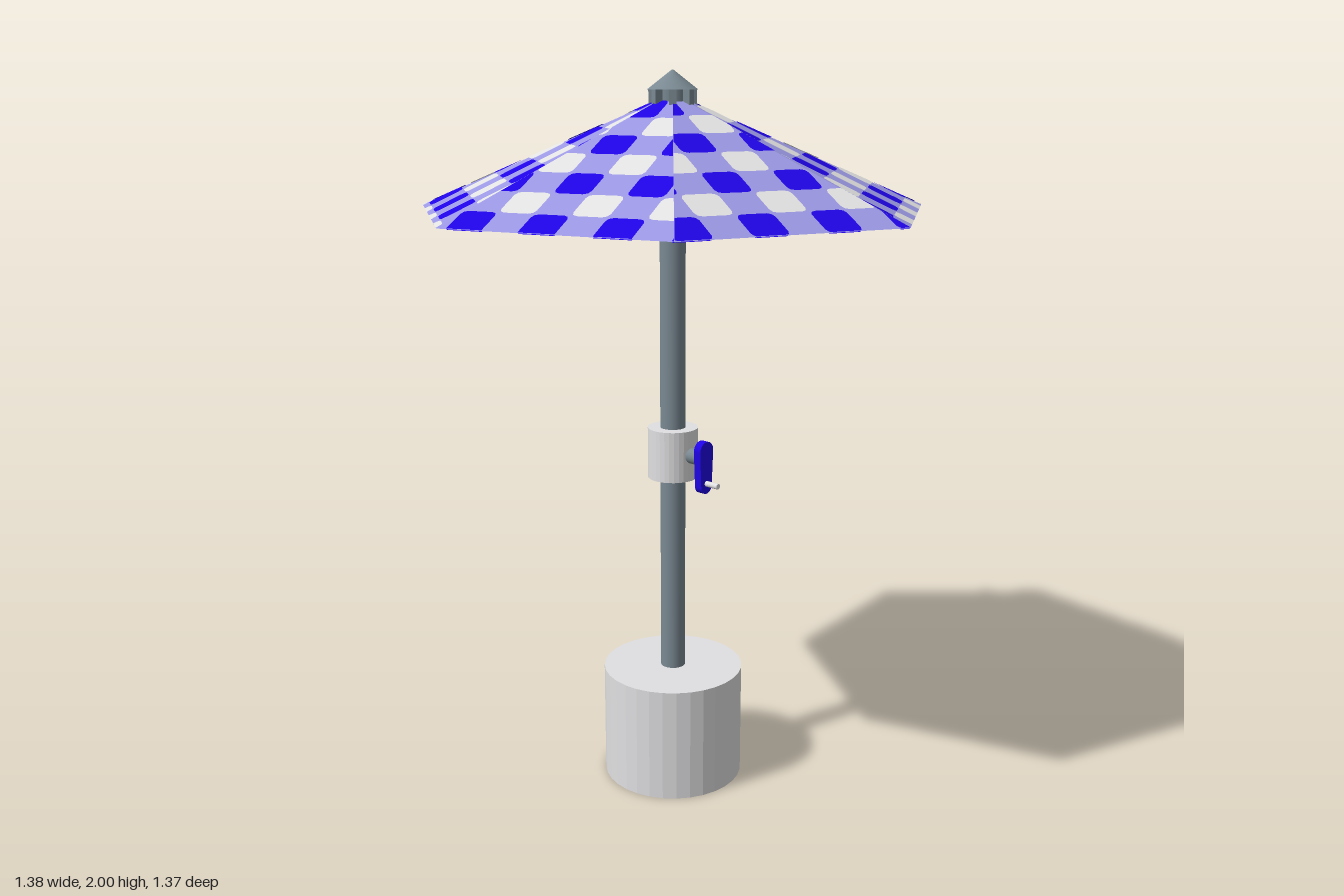
import * as THREE from 'three';

const mat = (name, color, extra = {}) => {
  const m = new THREE.MeshStandardMaterial({ color, ...extra });
  m.name = name;
  return m;
};

// Clip a convex polygon to the side of edge a-b that lies on its left
function clip(poly, a, b) {
  const side = p => (b.x - a.x) * (p.y - a.y) - (b.y - a.y) * (p.x - a.x);
  const out = [];
  poly.forEach((p, i) => {
    const q = poly[(i + 1) % poly.length], sp = side(p), sq = side(q);
    if (sp >= 0) out.push(p);
    if (sp * sq < 0) out.push(p.clone().lerp(q, sp / (sp - sq)));
  });
  return out;
}

// Square with rounded corners
function roundedSquare(cx, cy, half, r) {
  const pts = [];
  for (let c = 0; c < 4; c++) {
    const mid = Math.PI / 4 + c * Math.PI / 2;
    for (let s = -1; s <= 1; s++) {
      const a = mid + s * Math.PI / 4;
      pts.push(new THREE.Vector2(
        cx + Math.sign(Math.cos(mid)) * (half - r) + Math.cos(a) * r,
        cy + Math.sign(Math.sin(mid)) * (half - r) + Math.sin(a) * r));
    }
  }
  return pts;
}

// Flat geometry from a list of convex polygons, repeated at each depth
function fans(polys, depths) {
  const pos = [];
  for (const z of depths) for (const p of polys)
    for (let i = 1; i < p.length - 1; i++)
      for (const q of [p[0], p[i], p[i + 1]]) pos.push(q.x, q.y, z);
  const g = new THREE.BufferGeometry();
  g.setAttribute('position', new THREE.Float32BufferAttribute(pos, 3));
  g.computeVertexNormals();
  return g;
}

export function createModel() {
  const model = new THREE.Group();
  model.name = 'parasol';
  const body = new THREE.Group();
  body.name = 'parasolBody';
  body.position.set(0.01, 0, -0.023);
  model.add(body);

  const steel = mat('slate steel', 0x7a8992);
  const stone = mat('light grey base', 0xe0e0e2, { flatShading: true });
  const blue = mat('strong blue', 0x2004e6, { side: THREE.DoubleSide });
  const lilac = mat('lilac cloth', 0x9b98e3, { side: THREE.DoubleSide });
  const white = mat('off-white cloth', 0xe2e2e2, { side: THREE.DoubleSide });

  const add = (name, geo, material, parent = body) => {
    const m = new THREE.Mesh(geo, material);
    m.name = name;
    parent.add(m);
    return m;
  };
  const cylinder = (name, rTop, rBottom, y0, y1, material, sides = 32) => {
    const m = add(name, new THREE.CylinderGeometry(rTop, rBottom, y1 - y0, sides), material);
    m.position.y = (y0 + y1) / 2;
    return m;
  };

  // Stand and pole
  cylinder('base', 0.2, 0.2, 0, 0.328, stone);
  cylinder('pole', 0.035, 0.035, 0.3, 1.94, steel);
  cylinder('crankCollar', 0.07, 0.07, 0.9, 1.043, stone);

  // Crank: axle, rounded arm and grip pin
  const crank = new THREE.Group();
  crank.name = 'crank';
  crank.position.y = 0.973;
  body.add(crank);
  const rod = (name, r, y, z0, z1, material) => {
    const m = add(name, new THREE.CylinderGeometry(r, r, z1 - z0, 16), material, crank);
    m.rotation.x = Math.PI / 2;
    m.position.set(0, y, (z0 + z1) / 2);
  };
  rod('crankAxle', 0.022, 0, 0.05, 0.105, steel);
  const arm = new THREE.Shape();
  arm.absarc(0, 0.022, 0.027, 0, Math.PI, false);
  arm.absarc(0, -0.077, 0.022, Math.PI, Math.PI * 2, false);
  add('crankArm', new THREE.ExtrudeGeometry(arm, { depth: 0.023, bevelEnabled: false }), blue, crank)
    .position.z = 0.102;
  rod('crankPin', 0.008, -0.07, 0.12, 0.167, stone);

  // Cap: cone over a ring of rib sockets, one on each seam
  const firstSeam = THREE.MathUtils.degToRad(86), step = Math.PI / 7;
  cylinder('capCone', 0.002, 0.067, 1.95, 2.0, steel);
  cylinder('capCore', 0.042, 0.042, 1.92, 1.95, steel, 24);
  for (let i = 0; i < 7; i++) {
    const a = firstSeam + i * step * 2;
    const s = add('ribSocket', new THREE.BoxGeometry(0.03, 0.044, 0.018), steel);
    s.position.set(Math.cos(a) * 0.048, 1.93, Math.sin(a) * 0.048);
    s.rotation.y = -a;
  }

  // Canopy: seven sloping panels, each with its own offset of the check
  const R = 0.71, rise = 0.3, rimY = 1.64, cell = 0.097;
  const half = R * Math.sin(step), apothem = R * Math.cos(step);
  const slope = Math.hypot(apothem, rise);
  const tri = [[-half, 0], [half, 0], [0, slope]].map(p => new THREE.Vector2(...p));
  const offsets = [[-0.098, 0.097], [-0.066, 0.046], [-0.037, 0.033], [-0.035, 0.067],
    [-0.096, 0.08], [-0.06, 0.02], [-0.058, 0.06]];

  const checks = (cx, cy) => {
    const list = [];
    for (let i = -4; i <= 4; i++) for (let j = -2; j <= 5; j++) {
      let p = roundedSquare(cx + i * cell * 2, cy + j * cell * 2, cell / 2, 0.016);
      tri.forEach((a, k) => { p = clip(p, a, tri[(k + 1) % 3]); });
      if (p.length > 2) list.push(p);
    }
    return fans(list, [-0.002, 0.002]);
  };

  offsets.forEach(([ou, ov], k) => {
    const a = firstSeam - step + k * step * 2;
    const u = new THREE.Vector3(Math.sin(a), 0, -Math.cos(a));
    const v = new THREE.Vector3(-Math.cos(a) * apothem, rise, -Math.sin(a) * apothem).normalize();
    const panel = new THREE.Group();
    panel.name = 'canopyPanel';
    panel.quaternion.setFromRotationMatrix(
      new THREE.Matrix4().makeBasis(u, v, u.clone().cross(v)));
    panel.position.set(Math.cos(a) * apothem, rimY, Math.sin(a) * apothem);
    body.add(panel);
    add('panelCloth', fans([tri], [0]), lilac, panel);
    add('blueChecks', checks(ou, ov), blue, panel);
    add('whiteChecks', checks(ou + cell, ov + cell), white, panel);
  });

  return model;
}
